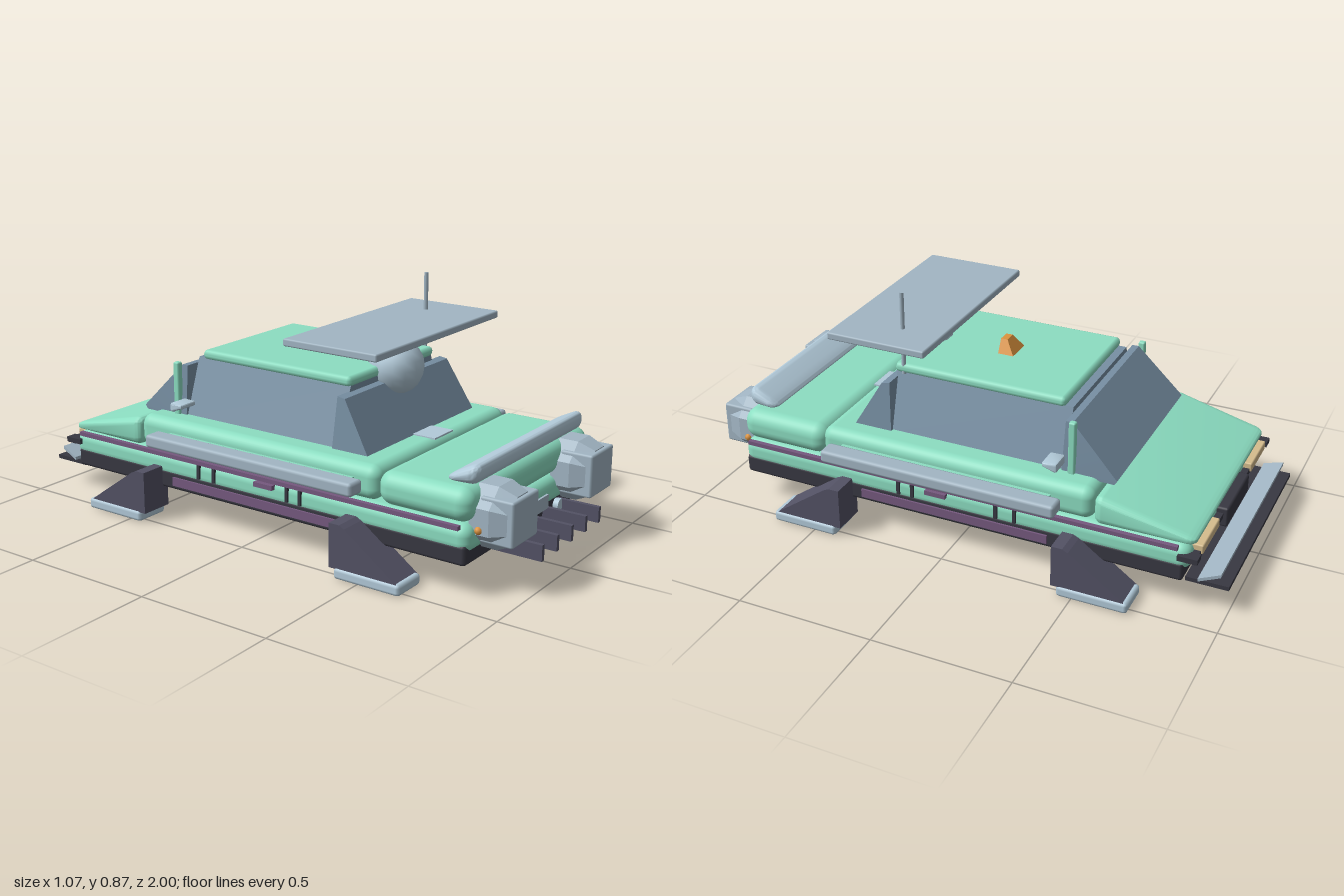
import * as THREE from 'three';
import { RoundedBoxGeometry } from 'three/addons/geometries/RoundedBoxGeometry.js';
import { toCreasedNormals } from 'three/addons/utils/BufferGeometryUtils.js';

const paint = (name, color) => {
  const m = new THREE.MeshStandardMaterial({ color });
  m.name = name;
  return m;
};

export function createModel() {
  const model = new THREE.Group();
  model.name = 'hoverCar';
  const green = paint('mint body', 0x8cdec2);
  const pale = paint('pale blue metal', 0xb2cad9);
  const steel = paint('steel blue', 0xa2b6c4);
  const glass = paint('window glass', 0x7890a4);
  const dark = paint('dark trim', 0x383842);
  const slate = paint('slate legs', 0x535265);
  const purple = paint('purple trim', 0x76597f);
  const orange = paint('amber', 0xdd943f);
  const tan = paint('tan lamp', 0xd6bd8e);

  const add = (name, geo, mat, x = 0, y = 0, z = 0) => {
    const m = new THREE.Mesh(geo, mat);
    m.name = name;
    m.position.set(x, y, z);
    model.add(m);
    return m;
  };
  // Boxes given by their limits on each axis
  const box = (name, mat, [x0, x1], [y0, y1], [z0, z1], r = 0) => {
    const s = [x1 - x0, y1 - y0, z1 - z0];
    const geo = r ? new RoundedBoxGeometry(...s, r > 0.02 ? 4 : 1, r) : new THREE.BoxGeometry(...s);
    return add(name, geo, mat, (x0 + x1) / 2, (y0 + y1) / 2, (z0 + z1) / 2);
  };
  // Side profile of [z, y] points extruded across the width
  const prism = (name, mat, pts, w, x = 0) => {
    const geo = new THREE.ExtrudeGeometry(new THREE.Shape(pts.map(p => new THREE.Vector2(...p))), { depth: w, bevelEnabled: false });
    geo.translate(0, 0, -w / 2).rotateY(-Math.PI / 2);
    return add(name, geo, mat, x);
  };
  // Move vertices by a rule, keeping soft edges
  const bend = (geo, rule) => {
    const p = geo.attributes.position, v = new THREE.Vector3();
    for (let i = 0; i < p.count; i++) {
      rule(v.fromBufferAttribute(p, i));
      p.setXYZ(i, v.x, v.y, v.z);
    }
    return toCreasedNormals(geo, 0.6);
  };
  const both = fn => [-1, 1].forEach(fn);
  const span = (s, a, b) => (s > 0 ? [a, b] : [-b, -a]);

  // Hull
  box('chassis', dark, [-0.43, 0.43], [0.11, 0.18], [-0.85, 0.84], 0.012);
  box('lowerBody', green, [-0.43, 0.43], [0.145, 0.245], [-0.87, 0.85], 0.04);
  box('middleBody', green, [-0.43, 0.43], [0.25, 0.37], [-0.53, 0.51], 0.04);
  box('frontHood', green, [-0.43, 0.43], [0.245, 0.362], [0.5, 0.85], 0.05);

  // Rear deck sloping down to the tail
  add('rearDeck', bend(new RoundedBoxGeometry(0.86, 0.11, 0.35, 4, 0.03), v => {
    const t = (0.175 - v.z) / 0.35;
    v.y = 0.245 + (v.y + 0.055) * (1 - 0.8 * t);
    v.x *= 1 - 0.04 * t;
  }), green, 0, 0, -0.705);

  // Cabin with sloping sides and thick end windows
  const section = new THREE.Shape([[-0.335, 0.36], [0.335, 0.36], [0.255, 0.57], [-0.255, 0.57]].map(p => new THREE.Vector2(...p)));
  add('cabin', new THREE.ExtrudeGeometry(section, { depth: 0.67, bevelEnabled: false }), glass, 0, 0, -0.385);
  const taper = m => { m.geometry = bend(m.geometry, v => { v.x *= 1 - Math.max(0, v.y - 0.44) * 0.5; }); };
  taper(prism('windshield', glass, [[0.42, 0.36], [0.31, 0.545], [0.28, 0.55], [0.27, 0.36]], 0.69));
  taper(prism('rearWindow', glass, [[-0.38, 0.36], [-0.385, 0.55], [-0.41, 0.55], [-0.58, 0.375], [-0.57, 0.36]], 0.68));
  box('roof', green, [-0.268, 0.268], [0.565, 0.602], [-0.36, 0.29], 0.016);

  // Roof equipment
  add('sensorDome', new THREE.SphereGeometry(0.1, 14, 10), pale, 0, 0.587, 0.3);
  box('roofPanel', steel, [-0.396, 0.396], [0.709, 0.736], [0.105, 0.48], 0.006);
  add('antenna', new THREE.CylinderGeometry(0.008, 0.008, 0.31, 8), steel, 0.258, 0.717, 0.257);
  add('beacon', bend(new THREE.BoxGeometry(0.1, 0.05, 0.06), v => {
    if (v.y > 0) {
      v.x *= 0.45;
      v.z = v.z > 0 ? 0.03 : 0.005;
    }
  }), orange, 0, 0.625, -0.04);

  // Front hood details
  add('hoodBar', bend(new RoundedBoxGeometry(0.76, 0.08, 0.115, 4, 0.035), v => {
    const t = (0.0575 - v.z) / 0.115;
    v.y = (v.y + 0.04) * (1 - 0.75 * t);
  }), pale, 0, 0.362, 0.79);
  box('hoodPlate', pale, [-0.06, 0.06], [0.368, 0.374], [0.38, 0.5]);
  box('numberPlate', steel, [-0.103, 0.103], [0.15, 0.2], [0.845, 0.858]);
  add('roundLamp', new THREE.CylinderGeometry(0.023, 0.023, 0.02, 14).rotateX(Math.PI / 2), pale, 0.19, 0.135, 0.852);
  for (let i = -2; i <= 2; i++) {
    const x = i * 0.104;
    box('frontTooth', slate, [x - 0.008, x + 0.008], [0.097, 0.153], [0.82, 1]);
  }

  both(s => {
    // Headlamp pods: faceted housing and square lens
    const pod = new THREE.CylinderGeometry(0.088, 0.115, 0.06, 8).rotateY(Math.PI / 8).rotateX(Math.PI / 2);
    add('lampHousing', toCreasedNormals(pod, 0.3), steel, s * 0.278, 0.254, 0.925);
    const back = new THREE.CylinderGeometry(0.115, 0.115, 0.07, 8).rotateY(Math.PI / 8).rotateX(Math.PI / 2);
    add('lampCollar', toCreasedNormals(back, 0.3), steel, s * 0.278, 0.254, 0.86);
    box('lampLens', steel, span(s, 0.193, 0.362), [0.178, 0.332], [0.85, 0.97], 0.008);
    add('frontMarker', new THREE.SphereGeometry(0.014, 8, 6), orange, s * 0.382, 0.225, 0.86);

    // Side rails, trim strips and door marks
    box('sideRail', steel, span(s, 0.445, 0.516), [0.284, 0.332], [-0.425, 0.465], 0.012);
    box('railMount', green, span(s, 0.41, 0.46), [0.29, 0.325], [-0.38, 0.42]);
    box('sideStripe', purple, span(s, 0.425, 0.442), [0.233, 0.248], [-0.83, 0.82]);
    box('sideSill', purple, span(s, 0.425, 0.437), [0.128, 0.16], [-0.37, 0.35]);
    for (const z of [0.2, 0.145, -0.178, -0.248])
      box('doorBar', dark, span(s, 0.425, 0.437), [0.177, 0.235], [z - 0.006, z + 0.006]);
    box('doorHandle', purple, span(s, 0.425, 0.445), [0.209, 0.226], [0.01, 0.09]);

    // Cabin posts and mirrors
    box('cabinPost', green, span(s, 0.326, 0.351), [0.36, 0.563], [-0.43, -0.405], 0.006);
    add('mirror', bend(new RoundedBoxGeometry(0.08, 0.034, 0.055, 1, 0.008), v => {
      if (v.z > 0) v.y = v.y * 0.5 + 0.006;
    }), pale, s * 0.375, 0.415, -0.365);

    // Landing legs and feet
    both(f => {
      const z = f > 0 ? 0 : -0.035;
      const pts = [[0.39, 0.035], [0.655, 0.035], [0.45, 0.18], [0.43, 0.19], [0.39, 0.19]].map(p => [f * p[0] + z, p[1]]);
      prism(f > 0 ? 'frontLeg' : 'rearLeg', slate, pts, 0.125, s * 0.466);
      box('foot', pale, span(s, 0.4, 0.535), [0, 0.04], f > 0 ? [0.41, 0.665] : [-0.7, -0.445], 0.012);
    });

    // Tail lamps and rear corner trim
    box('tailLamp', tan, span(s, 0.195, 0.38), [0.2, 0.235], [-0.9, -0.86], 0.005);
    box('cornerTrim', dark, span(s, 0.4, 0.442), [0.197, 0.216], [-0.9, -0.83]);
  });

  // Tail trim and bumper
  box('tailTrim', dark, [-0.44, 0.44], [0.195, 0.214], [-0.893, -0.86]);
  box('tailPanel', dark, [-0.13, 0.13], [0.16, 0.234], [-0.91, -0.86], 0.008);
  box('rearSkid', dark, [-0.396, 0.396], [0.097, 0.112], [-1, -0.85]);
  add('rearBumper', bend(new THREE.BoxGeometry(0.8, 0.012, 0.075), v => {
    v.y += v.z < 0 ? 0.016 : -0.012;
    v.x *= v.z < 0 ? 0.99 : 1.02;
  }), steel, 0, 0.13, -0.933);
  return model;
}
